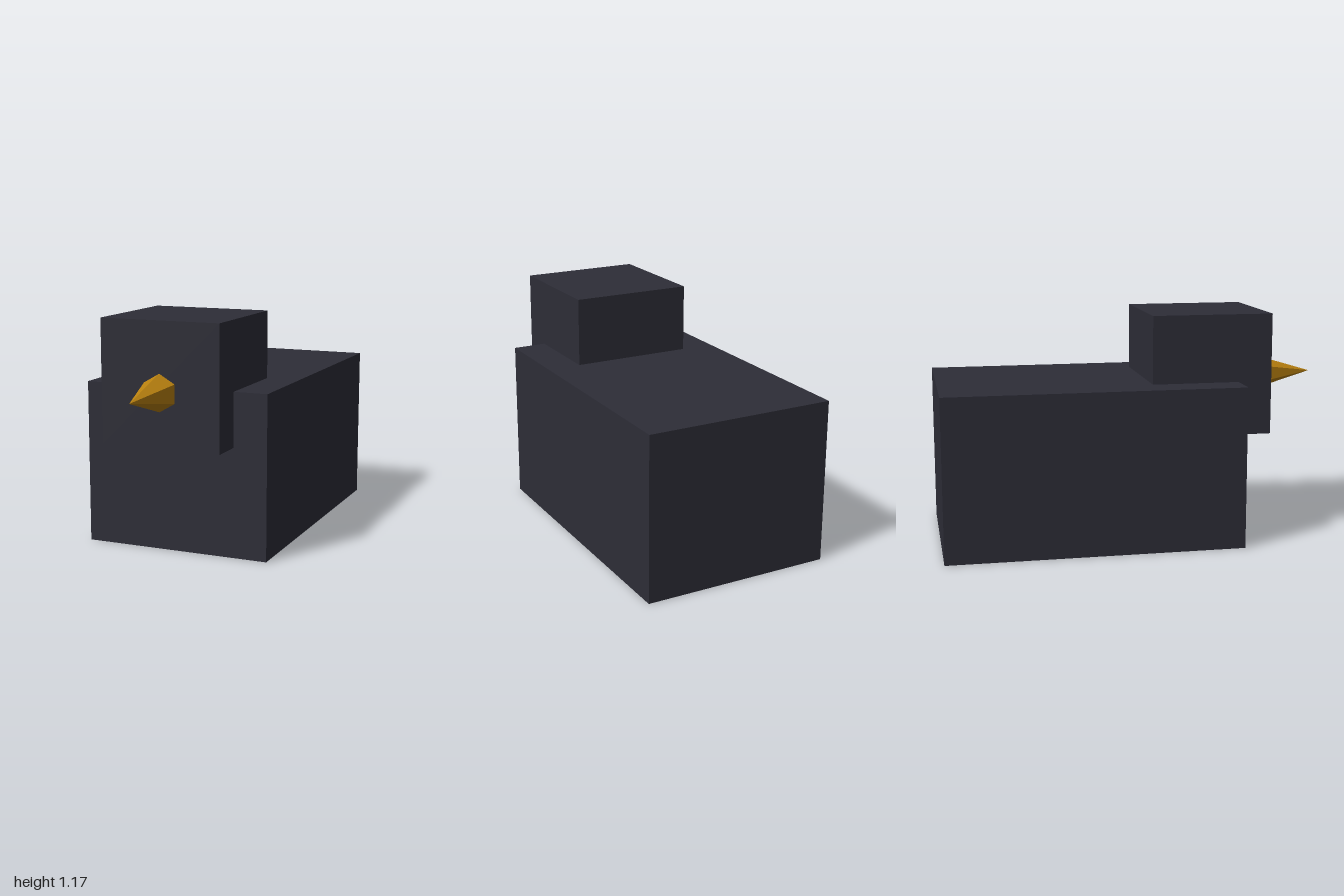
import * as THREE from 'three';

export function createModel() {
  const model = new THREE.Group();
  const charcoal = new THREE.MeshStandardMaterial({ name: 'charcoal', color: 0x2d2d37 });
  const amber = new THREE.MeshStandardMaterial({ name: 'amber', color: 0xb8800f, flatShading: true });

  function addPart(name, geometry, material, y, z) {
    const mesh = new THREE.Mesh(geometry, material);
    mesh.name = name;
    mesh.position.set(0, y, z);
    model.add(mesh);
    return mesh;
  }

  // Long block body standing on the ground
  addPart('body', new THREE.BoxGeometry(0.966, 0.828, 1.517), charcoal, 0.414, -0.2415);

  // Cube head overlapping the front of the body
  addPart('head', new THREE.BoxGeometry(0.62, 0.62, 0.62), charcoal, 0.864, 0.38);

  // Six-sided beak pointing forward, its base sunk into the head
  const beak = addPart('beak', new THREE.ConeGeometry(0.1035, 0.345, 6), amber, 0.828, 0.8275);
  beak.rotation.x = Math.PI / 2;

  return model;
}
